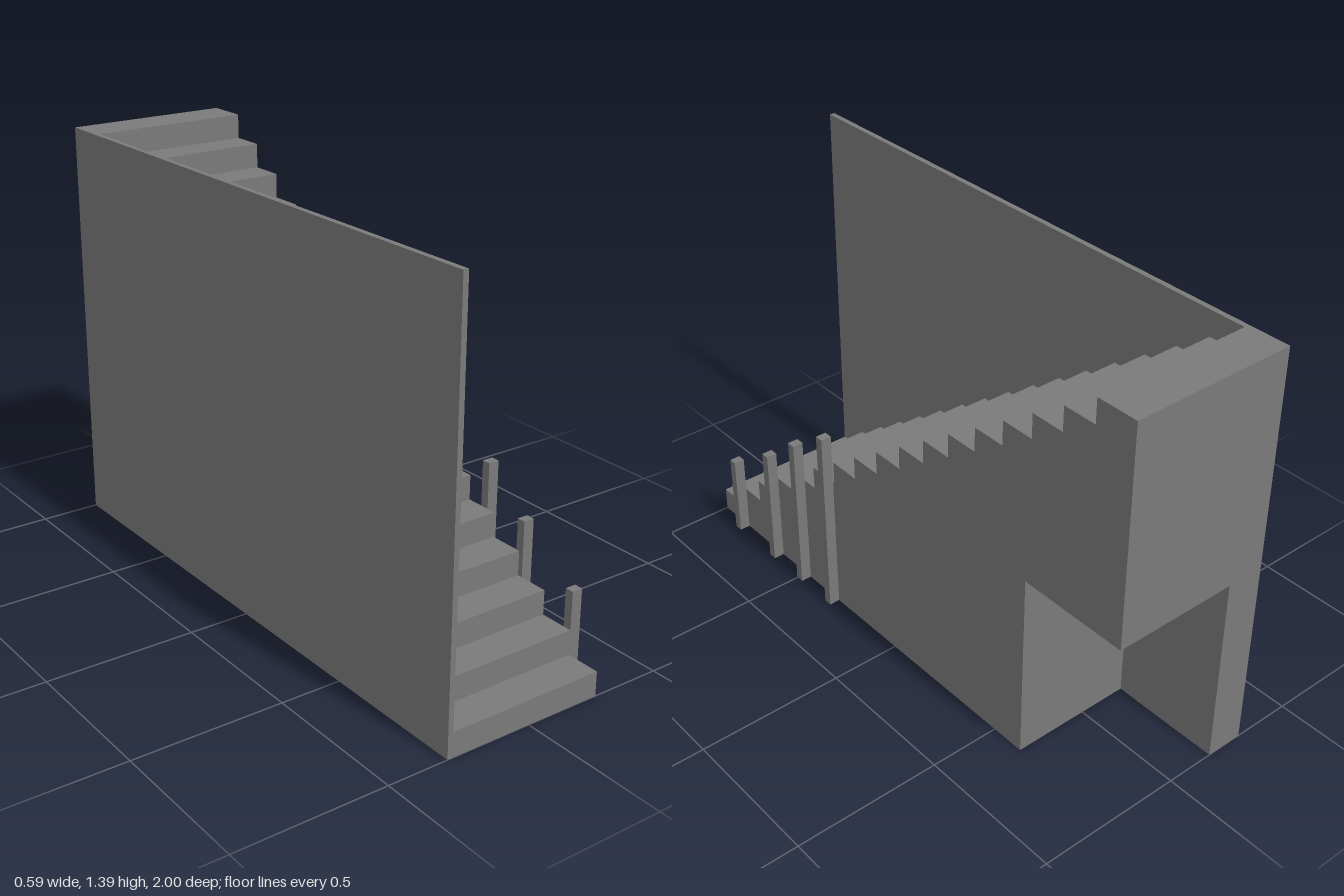
import * as THREE from 'three';

const STEPS = 17, HEIGHT = 1.39, RISE = HEIGHT / STEPS, GOING = 0.1162;
const WALL_X = -0.297, STAIR_X = -0.279, ALCOVE_X = -0.167, SIDE_X = 0.26, POST_X = 0.297;
const ALCOVE_Z = -0.618, ALCOVE_TOP = 0.657;

export function createModel() {
  const group = new THREE.Group();
  const material = new THREE.MeshStandardMaterial({ color: 0x7a7a7a });

  function add(name, geometry) {
    const mesh = new THREE.Mesh(geometry, material);
    mesh.name = name;
    group.add(mesh);
  }

  function box(name, x0, x1, y0, y1, z0, z1) {
    const geometry = new THREE.BoxGeometry(x1 - x0, y1 - y0, z1 - z0);
    geometry.translate((x0 + x1) / 2, (y0 + y1) / 2, (z0 + z1) / 2);
    add(name, geometry);
  }

  // Stepped side profile (drawn with -z to the right), extruded across the width
  function flight(name, x0, x1, withAlcove) {
    const shape = new THREE.Shape();
    shape.moveTo(-1, 0);
    for (let i = 0; i < STEPS; i++) {
      const y = (i + 1) * RISE;
      shape.lineTo(-1 + i * GOING, y);
      shape.lineTo(i === STEPS - 1 ? 1 : -1 + (i + 1) * GOING, y);
    }
    if (withAlcove) {
      shape.lineTo(1, ALCOVE_TOP);
      shape.lineTo(-ALCOVE_Z, ALCOVE_TOP);
      shape.lineTo(-ALCOVE_Z, 0);
    } else {
      shape.lineTo(1, 0);
    }
    shape.closePath();
    const geometry = new THREE.ExtrudeGeometry(shape, { depth: x1 - x0, bevelEnabled: false });
    geometry.rotateY(Math.PI / 2);
    geometry.translate(x0, 0, 0);
    add(name, geometry);
  }

  // Tall wall along one side
  box('sideWall', WALL_X, STAIR_X, 0, HEIGHT, -1, 1);

  // Solid strip of stairs by the wall, then the wide part with the alcove beneath
  flight('stairsBesideWall', STAIR_X, ALCOVE_X, false);
  flight('stairsOverAlcove', ALCOVE_X, SIDE_X, true);

  // Posts along the open side: [front z, back z, top]
  const posts = [[0.884, 0.855, 0.29], [0.668, 0.639, 0.43], [0.503, 0.474, 0.56], [0.338, 0.309, 0.67]];
  posts.forEach(([front, back, top], i) => box('post' + (i + 1), SIDE_X, POST_X, 0, top, back, front));

  return group;
}
